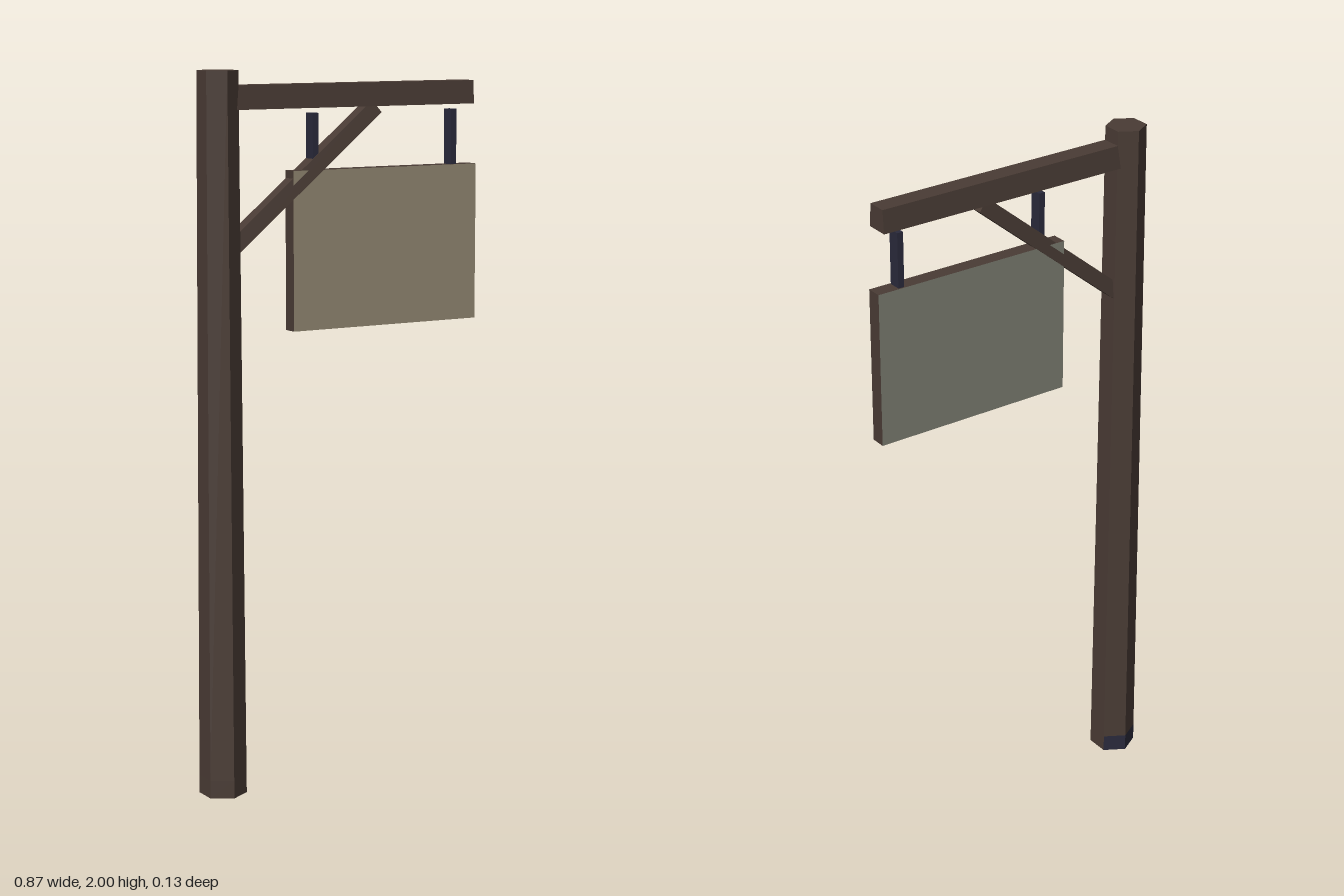
import * as THREE from 'three';

const material = (name, color) => {
  const m = new THREE.MeshStandardMaterial({ color });
  m.name = name;
  return m;
};

// Box whose top is narrower than its base along z
function taperedBox(length, height, baseDepth, topDepth) {
  const geometry = new THREE.BoxGeometry(length, height, baseDepth);
  const pos = geometry.attributes.position;
  for (let i = 0; i < pos.count; i++) {
    if (pos.getY(i) > 0) pos.setZ(i, pos.getZ(i) * topDepth / baseDepth);
  }
  geometry.computeVertexNormals();
  return geometry;
}

export function createModel() {
  const model = new THREE.Group();
  model.name = 'hangingSign';

  const wood = material('dark wood', 0x4a3c35);
  const iron = material('dark iron', 0x2a2a3c);
  const frontPaint = material('tan board', 0x938973);
  const backPaint = material('grey board', 0x7e7f73);
  wood.flatShading = iron.flatShading = true;

  const add = (name, geometry, mat, x, y, z = 0) => {
    const mesh = new THREE.Mesh(geometry, mat);
    mesh.name = name;
    mesh.position.set(x, y, z);
    model.add(mesh);
    return mesh;
  };

  // Six-sided post, slightly tapered, on a dark foot
  const postX = -0.38, footHeight = 0.05, third = Math.PI * 2 / 3;
  const topR = 0.056, midR = 0.0657, baseR = 0.066;
  add('post', new THREE.CylinderGeometry(topR, midR, 2 - footHeight, 6), wood, postX, 1 + footHeight / 2);
  add('footFront', new THREE.CylinderGeometry(midR, baseR, footHeight, 4, 1, true, 2 * third, 2 * third),
    wood, postX, footHeight / 2);
  add('footBack', new THREE.CylinderGeometry(midR, baseR, footHeight, 2, 1, true, third, third),
    iron, postX, footHeight / 2);
  const base = add('footBase', new THREE.CircleGeometry(baseR, 6, Math.PI / 2), iron, postX, 0);
  base.rotation.x = Math.PI / 2;

  // Horizontal beam
  add('beam', taperedBox(0.8, 0.065, 0.066, 0.056), wood, 0.02, 1.927);

  // Diagonal brace
  const start = new THREE.Vector2(-0.38, 1.496), end = new THREE.Vector2(0.105, 1.894);
  const span = end.clone().sub(start);
  const brace = add('brace', taperedBox(span.length(), 0.0425, 0.052, 0.04), wood,
    (start.x + end.x) / 2, (start.y + end.y) / 2);
  brace.rotation.z = span.angle();

  // Hangers
  for (const x of [-0.088, 0.362]) {
    add('hanger', new THREE.BoxGeometry(0.018, 0.155, 0.036), iron, x, 1.8025);
  }

  // Board with wooden edges and painted faces
  add('board', new THREE.BoxGeometry(0.595, 0.44, 0.044),
    [wood, wood, wood, wood, frontPaint, backPaint], 0.1375, 1.505);

  return model;
}
